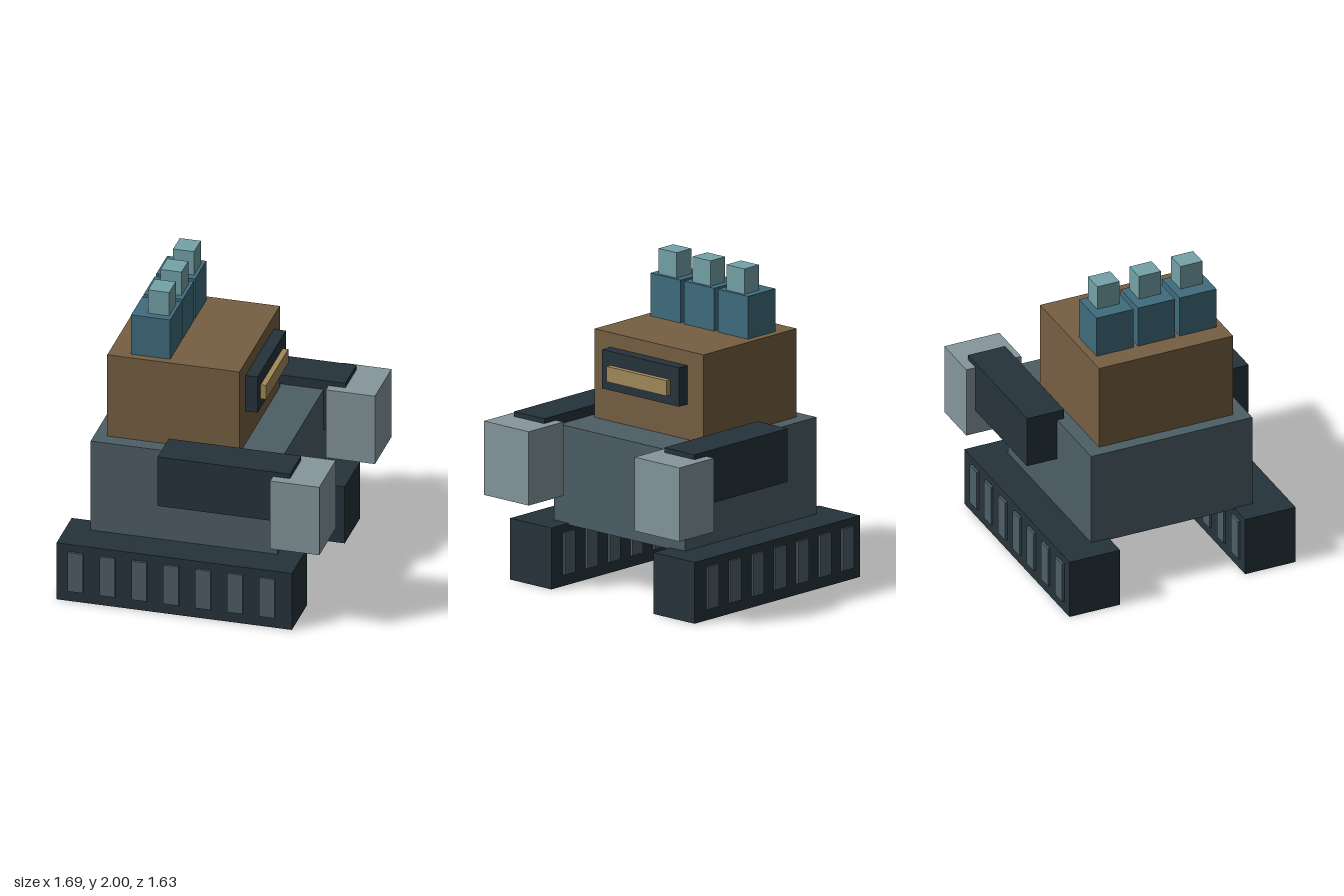
import * as THREE from 'three';

const mat = (color) => new THREE.MeshStandardMaterial({ color, flatShading: true });

export function createModel() {
  const model = new THREE.Group();
  model.name = 'trackedRobot';

  const dark = mat(0x26333b);
  const steel = mat(0x4d5e66);
  const brown = mat(0x765f42);
  const blue = mat(0x3f6c7e);
  const teal = mat(0x74a3a8);
  const pale = mat(0x85979b);
  const gold = mat(0xa38b5a);

  // Box given by its limits on each axis
  function block(name, material, [x0, x1], [y0, y1], [z0, z1], parent = model) {
    const mesh = new THREE.Mesh(new THREE.BoxGeometry(x1 - x0, y1 - y0, z1 - z0), material);
    mesh.position.set((x0 + x1) / 2, (y0 + y1) / 2, (z0 + z1) / 2);
    mesh.name = name;
    parent.add(mesh);
    return mesh;
  }

  // Body and head
  block('hull', steel, [-0.69, 0.5], [0.38, 1.005], [-0.547, 0.547]);
  block('head', brown, [-0.61, 0.233], [1.005, 1.567], [-0.455, 0.455]);
  block('visorFrame', dark, [0.233, 0.31], [1.228, 1.475], [-0.32, 0.32]);
  block('visorSlit', gold, [0.31, 0.345], [1.29, 1.387], [-0.25, 0.25]);

  // Row of three stacks on the head
  for (const z of [-0.281, 0.001, 0.283]) {
    block('stack', blue, [-0.471, -0.222], [1.567, 1.839], [z - 0.125, z + 0.125]);
    block('stackTip', teal, [-0.377, -0.243], [1.839, 2], [z - 0.075, z + 0.075]);
  }

  // Track, arm and fist on each side
  for (const s of [-1, 1]) {
    const side = new THREE.Group();
    side.name = s > 0 ? 'nearSide' : 'farSide';
    model.add(side);
    const span = (a, b) => (s > 0 ? [a, b] : [-b, -a]);

    block('track', dark, [-0.845, 0.655], [0, 0.39], span(0.425, 0.768), side);
    // Tread plates pass through the track and stand proud of both faces
    for (let i = 0; i < 7; i++) {
      const x = -0.722 + i * 0.2035;
      block('treadPlate', steel, [x - 0.049, x + 0.049], [0.072, 0.34], span(0.411, 0.783), side);
    }
    block('arm', dark, [-0.205, 0.638], [0.728, 1.067], span(0.5, 0.752), side);
    block('fist', pale, [0.53, 0.843], [0.567, 1.036], span(0.441, 0.815), side);
  }

  return model;
}
